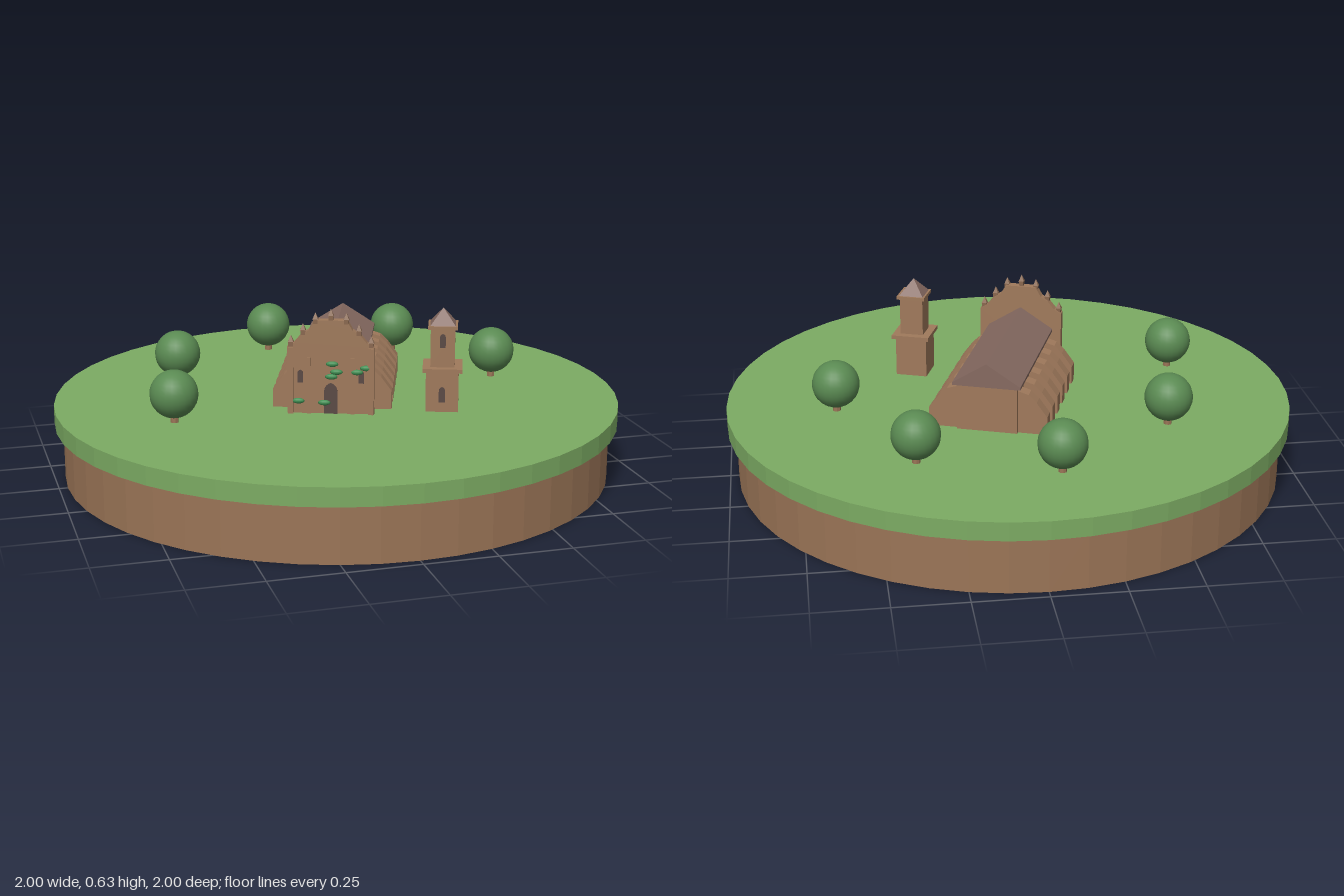
import * as THREE from 'three';

const mat = (name, color, flat = true) => {
  const m = new THREE.MeshStandardMaterial({ color, flatShading: flat });
  m.name = name;
  return m;
};
const grass = mat('grass', 0x7cab63), earth = mat('earth', 0x9b7557);
const stone = mat('stone', 0xa07a5c), trim = mat('darkStone', 0x8a684f);
const slate = mat('roofSlate', 0x866a61), glass = mat('darkOpening', 0x5a4a45);
const leaf = mat('treeLeaf', 0x5a8a52, false), ivyGreen = mat('ivy', 0x3f8f52, false);

function add(parent, name, geo, material, x = 0, y = 0, z = 0) {
  const m = new THREE.Mesh(geo, material);
  m.name = name;
  m.position.set(x, y, z);
  parent.add(m);
  return m;
}
// box standing on y
function block(parent, name, material, w, h, d, x, y, z) {
  return add(parent, name, new THREE.BoxGeometry(w, h, d), material, x, y + h / 2, z);
}
// outline in x,y given thickness along z
function plate(points, depth) {
  const shape = new THREE.Shape(points.map(p => new THREE.Vector2(...p)));
  return new THREE.ExtrudeGeometry(shape, { depth, bevelEnabled: false });
}
// four-sided spire with its sides square to the axes
function spire(parent, name, material, side, h, x, y, z) {
  const geo = new THREE.ConeGeometry(side / Math.SQRT2, h, 4).rotateY(Math.PI / 4);
  return add(parent, name, geo, material, x, y + h / 2, z);
}
// pointed-arch opening, standing on y
function lancet(parent, name, w, h, x, y, z) {
  const s = new THREE.Shape();
  s.moveTo(-w / 2, 0);
  s.lineTo(w / 2, 0);
  s.lineTo(w / 2, h - w * 0.7);
  s.quadraticCurveTo(w / 2, h - w * 0.2, 0, h);
  s.quadraticCurveTo(-w / 2, h - w * 0.2, -w / 2, h - w * 0.7);
  const geo = new THREE.ExtrudeGeometry(s, { depth: 0.004, bevelEnabled: false, curveSegments: 5 });
  return add(parent, name, geo, glass, x, y, z);
}

function buildNave() {
  const g = new THREE.Group();
  g.name = 'nave';
  block(g, 'naveWalls', stone, 0.21, 0.175, 0.55, 0, 0, -0.29);
  add(g, 'naveRoof', plate([[-0.118, 0.165], [0.118, 0.165], [0.118, 0.175], [0, 0.25], [-0.118, 0.175]], 0.56),
    slate, 0, 0, -0.575);
  // six stepped buttresses on each side
  const profile = [[0.1, 0], [0.207, 0], [0.207, 0.065], [0.17, 0.115], [0.142, 0.142], [0.1, 0.155]];
  const geo = plate(profile, 0.045).translate(0, 0, -0.0225);
  for (let i = 0; i < 6; i++) for (const s of [0, Math.PI])
    add(g, 'buttress', geo, stone, 0, 0, -0.073 - i * 0.0915).rotation.y = s;
  return g;
}

function buildFacade() {
  const g = new THREE.Group();
  g.name = 'facade';
  add(g, 'facadeWall', plate([[-0.15, 0], [0.15, 0], [0.15, 0.235], [0.125, 0.25], [0.1, 0.28], [0.075, 0.295],
    [0.055, 0.33], [-0.055, 0.33], [-0.075, 0.295], [-0.1, 0.28], [-0.125, 0.25], [-0.15, 0.235]], 0.03), stone, 0, 0, -0.015);
  // pinnacles following the gable
  for (const [x, y] of [[0, 0.33], [0.053, 0.317], [0.096, 0.278], [0.138, 0.236]])
    for (const s of x ? [-1, 1] : [1]) {
      block(g, 'pinnacleBase', trim, 0.016, 0.016, 0.024, s * x, y, 0.004);
      spire(g, 'pinnacle', trim, 0.02, 0.025, s * x, y + 0.014, 0.004);
    }
  // pilasters, side lancets and the door
  for (const s of [-1, 1]) {
    block(g, 'outerPilaster', stone, 0.018, 0.235, 0.012, s * 0.138, 0, 0.02);
    block(g, 'innerPilaster', stone, 0.014, 0.2, 0.01, s * 0.075, 0, 0.018);
    lancet(g, 'sideLancet', 0.02, 0.045, s * 0.105, 0.11, 0.0145);
  }
  lancet(g, 'door', 0.046, 0.11, 0, 0, 0.0145);
  // ivy clumps
  const clump = new THREE.SphereGeometry(1, 10, 6).scale(0.022, 0.01, 0.008);
  for (const [x, y] of [[0.005, 0.178], [0.02, 0.15], [0.002, 0.133], [0.09, 0.15], [0.122, 0.165], [-0.112, 0.045], [-0.022, 0.04]])
    add(g, 'ivyClump', clump, ivyGreen, x, y, 0.02);
  return g;
}

function buildTower() {
  const g = new THREE.Group();
  g.name = 'bellTower';
  block(g, 'towerBase', stone, 0.113, 0.145, 0.113, 0, 0, 0);
  block(g, 'lowerCornice', stone, 0.137, 0.014, 0.137, 0, 0.142, 0);
  block(g, 'towerUpper', stone, 0.084, 0.135, 0.084, 0, 0.156, 0);
  block(g, 'upperCornice', stone, 0.102, 0.012, 0.102, 0, 0.29, 0);
  spire(g, 'towerRoof', slate, 0.088, 0.056, 0, 0.302, 0);
  lancet(g, 'lowerWindow', 0.022, 0.055, 0, 0.035, 0.0545);
  lancet(g, 'belfryOpening', 0.02, 0.05, 0, 0.225, 0.04);
  return g;
}

export function createModel() {
  const model = new THREE.Group();
  model.name = 'churchIsland';
  add(model, 'earthBase', new THREE.CylinderGeometry(0.97, 0.97, 0.2, 48), earth, 0, 0.1, 0);
  add(model, 'grassDisc', new THREE.CylinderGeometry(1, 1, 0.065, 48), grass, 0, 0.2325, 0);

  // church and tower share the same heading
  const church = new THREE.Group();
  church.name = 'church';
  church.add(buildNave(), buildFacade());
  church.position.set(-0.078, 0.265, 0.214);
  const tower = buildTower();
  tower.position.set(0.31, 0.265, 0.262);
  church.rotation.y = tower.rotation.y = -0.349;
  model.add(church, tower);

  // round trees
  const crown = new THREE.SphereGeometry(0.083, 24, 16);
  const trunk = new THREE.CylinderGeometry(0.014, 0.014, 0.05, 8);
  for (const [x, z] of [[-0.09, -0.66], [0.375, -0.53], [-0.51, -0.335], [0.615, -0.07], [-0.62, 0.18]]) {
    add(model, 'treeCrown', crown, leaf, x, 0.365, z);
    add(model, 'treeTrunk', trunk, earth, x, 0.285, z);
  }
  return model;
}
